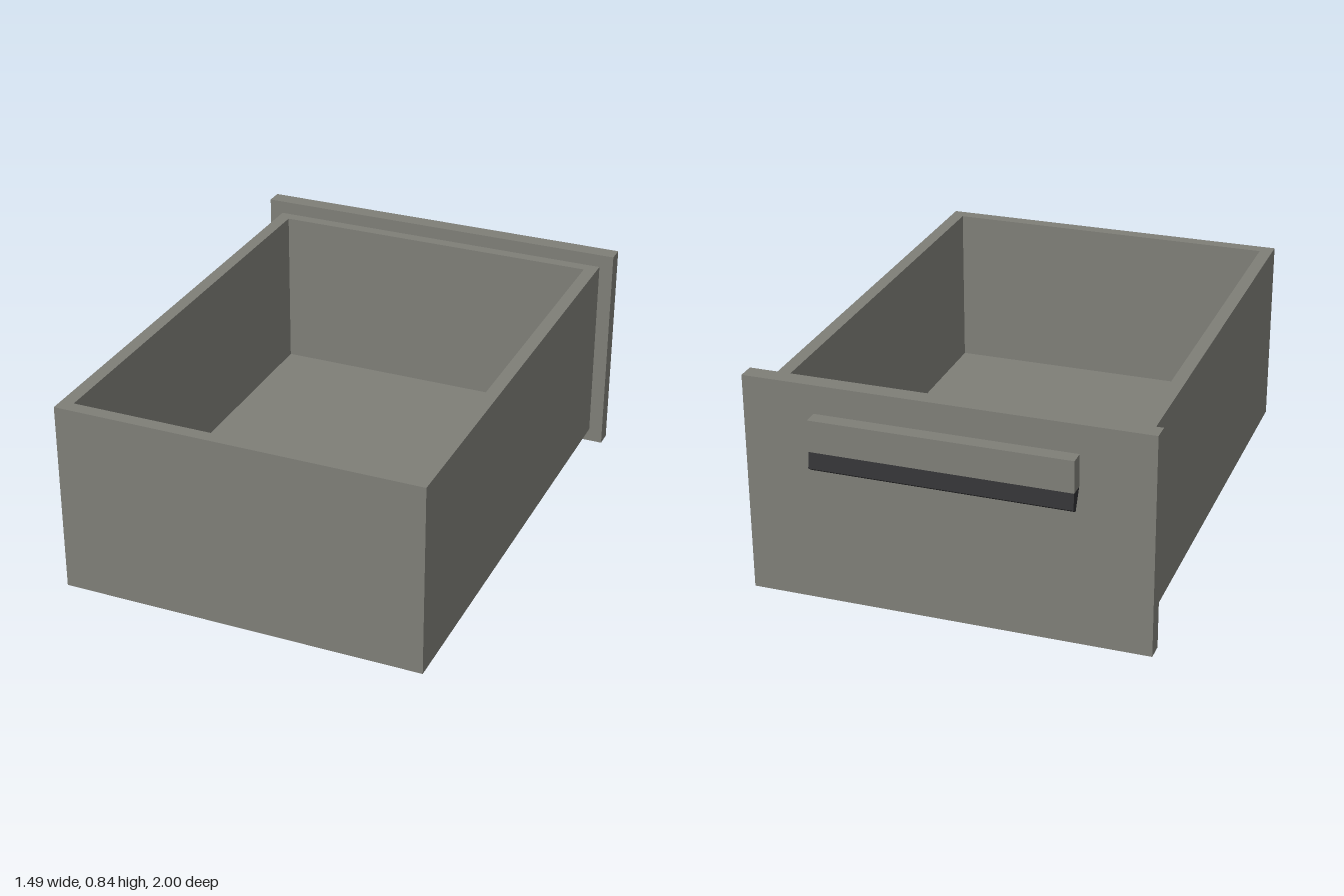
import * as THREE from 'three';

export function createModel() {
  const group = new THREE.Group();
  group.name = 'drawer';

  const grey = new THREE.MeshStandardMaterial({ color: 0x7e7e77 });
  grey.name = 'warm grey';
  const dark = new THREE.MeshStandardMaterial({ color: 0x303032 });
  dark.name = 'dark grip';

  const add = (name, geometry, material) => {
    const mesh = new THREE.Mesh(geometry, material);
    mesh.name = name;
    group.add(mesh);
  };
  // Box given by its lower and upper corners
  const box = (x0, y0, z0, x1, y1, z1) =>
    new THREE.BoxGeometry(x1 - x0, y1 - y0, z1 - z0)
      .translate((x0 + x1) / 2, (y0 + y1) / 2, (z0 + z1) / 2);
  // Rectangle seen from above; swapping z0 and z1 reverses its winding
  const rect = (Type, x, z0, z1) => new Type([[-x, z0], [x, z0], [x, z1], [-x, z1]]
    .map(([a, b]) => new THREE.Vector2(a, -b)));
  // Side profile of [z, y] points, extruded across x
  const bar = (points, width) => {
    const shape = new THREE.Shape(points.map(([z, y]) => new THREE.Vector2(z, y)));
    return new THREE.ExtrudeGeometry(shape, { depth: width, bevelEnabled: false })
      .translate(0, 0, -width / 2).rotateY(-Math.PI / 2);
  };

  // Four walls as one frame, open at the top; the hole winds the other way
  const frame = rect(THREE.Shape, 0.693, -0.87, 1);
  frame.holes.push(rect(THREE.Path, 0.643, 0.949, -0.823));
  add('walls', new THREE.ExtrudeGeometry(frame, { depth: 0.734, bevelEnabled: false })
    .rotateX(-Math.PI / 2).translate(0, 0.053, 0), grey);

  // Thick floor inside the frame
  add('floor', box(-0.643, 0.053, -0.823, 0.643, 0.155, 0.949), grey);

  // Overhanging face panel
  add('facePanel', box(-0.747, 0, -0.936, 0.747, 0.838, -0.87), grey);

  // Handle: upper bar and the slanted dark grip below it
  add('handleBar', bar([[-0.936, 0.73], [-0.992, 0.73], [-0.992, 0.61], [-0.936, 0.61]], 0.96), grey);
  add('handleGrip', bar([[-0.938, 0.61], [-0.992, 0.61], [-1, 0.55], [-0.975, 0.533]], 0.96), dark);

  return group;
}
